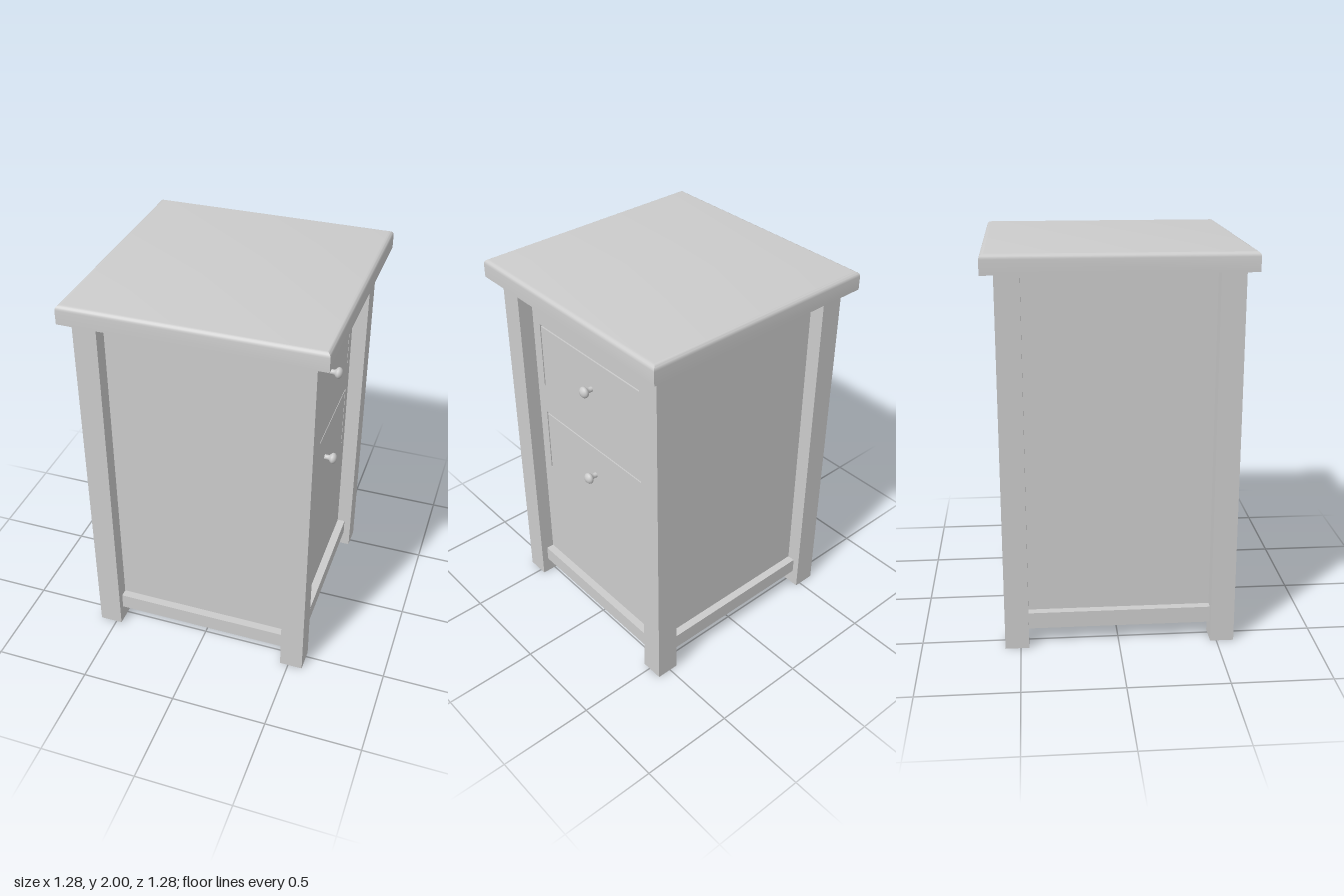
import * as THREE from 'three';
import { toCreasedNormals } from 'three/addons/utils/BufferGeometryUtils.js';

const material = new THREE.MeshStandardMaterial({ color: 0xcccccc });

function add(parent, name, geometry) {
  const mesh = new THREE.Mesh(geometry, material);
  mesh.name = name;
  parent.add(mesh);
  return mesh;
}

// Box given by its lower and upper corners
function addBox(parent, name, [x0, y0, z0], [x1, y1, z1]) {
  const mesh = add(parent, name, new THREE.BoxGeometry(x1 - x0, y1 - y0, z1 - z0));
  mesh.position.set((x0 + x1) / 2, (y0 + y1) / 2, (z0 + z1) / 2);
  return mesh;
}

// Rectangle outline, counter-clockwise
function rectangle(path, u0, v0, u1, v1) {
  path.moveTo(u0, v0);
  path.lineTo(u1, v0);
  path.lineTo(u1, v1);
  path.lineTo(u0, v1);
  path.closePath();
  return path;
}

export function createModel() {
  const cabinet = new THREE.Group();
  cabinet.name = 'drawerCabinet';

  // Carcass sits very slightly off the centre of the top
  const body = new THREE.Group();
  body.name = 'body';
  body.position.set(-0.007, 0, 0.005);
  cabinet.add(body);

  const half = 0.583, leg = 0.12, topY = 1.905;
  const panel = half - 0.078;   // outer face of the side panels
  const base = half - 0.036;    // outer face of the bottom rails
  const groove = 0.02;          // depth of the gaps around the drawers

  // Four square legs
  for (const sx of [-1, 1]) {
    for (const sz of [-1, 1]) {
      const mesh = add(body, 'leg', new THREE.BoxGeometry(leg, topY, leg));
      mesh.position.set(sx * (half - leg / 2), topY / 2, sz * (half - leg / 2));
    }
  }

  // Inner carcass and the base board that forms the bottom rails
  addBox(body, 'carcass', [-panel, 0.15, -panel], [panel - groove, topY, panel]);
  addBox(body, 'baseBoard', [-base, 0.09, -base], [base, 0.175, base]);

  // Drawer side: a frame with two openings, extruded along x
  const drawers = [{ y0: 1.32, y1: 1.683, knobY: 1.505 }, { y0: 0.79, y1: 1.155, knobY: 0.978 }];
  const width = 0.406, gap = 0.008;
  const frame = rectangle(new THREE.Shape(), -panel, 0.15, panel, topY);
  for (const d of drawers) frame.holes.push(rectangle(new THREE.Path(), -width, d.y0, width, d.y1));
  const frameGeometry = new THREE.ExtrudeGeometry(frame, { depth: groove, bevelEnabled: false });
  frameGeometry.rotateY(Math.PI / 2);
  add(body, 'drawerFrame', frameGeometry).position.x = panel - groove;

  // Turned knob: tapering stem with a rounded head
  const knobProfile = [
    [0.014, 0], [0.013, 0.015], [0.015, 0.026], [0.025, 0.034], [0.03, 0.043],
    [0.028, 0.052], [0.02, 0.06], [0.01, 0.064], [0, 0.065],
  ].map(([r, h]) => new THREE.Vector2(r, h));
  const knobGeometry = new THREE.LatheGeometry(knobProfile, 24);
  knobGeometry.rotateZ(-Math.PI / 2);

  // Drawer fronts lie flush, with a gap at the top and sides
  for (const d of drawers) {
    addBox(body, 'drawerFront',
      [panel - groove, d.y0, -width + gap], [panel, d.y1 - gap, width - gap]);
    add(body, 'drawerKnob', knobGeometry).position.set(panel, d.knobY, -0.002);
  }

  // Square top with a rounded upper edge: a four-sided lathe gives mitred corners
  const r = 0.024, edge = 0.64;
  const profile = [[0, topY], [edge, topY]];
  for (let i = 0; i <= 5; i++) {
    const a = (i / 5) * Math.PI / 2;
    profile.push([edge - r + r * Math.cos(a), 2 - r + r * Math.sin(a)]);
  }
  profile.push([0, 2]);
  const topGeometry = new THREE.LatheGeometry(
    profile.map(([x, y]) => new THREE.Vector2(x * Math.SQRT2, y)), 4);
  topGeometry.rotateY(Math.PI / 4);
  add(cabinet, 'top', toCreasedNormals(topGeometry, 0.5));

  return cabinet;
}
